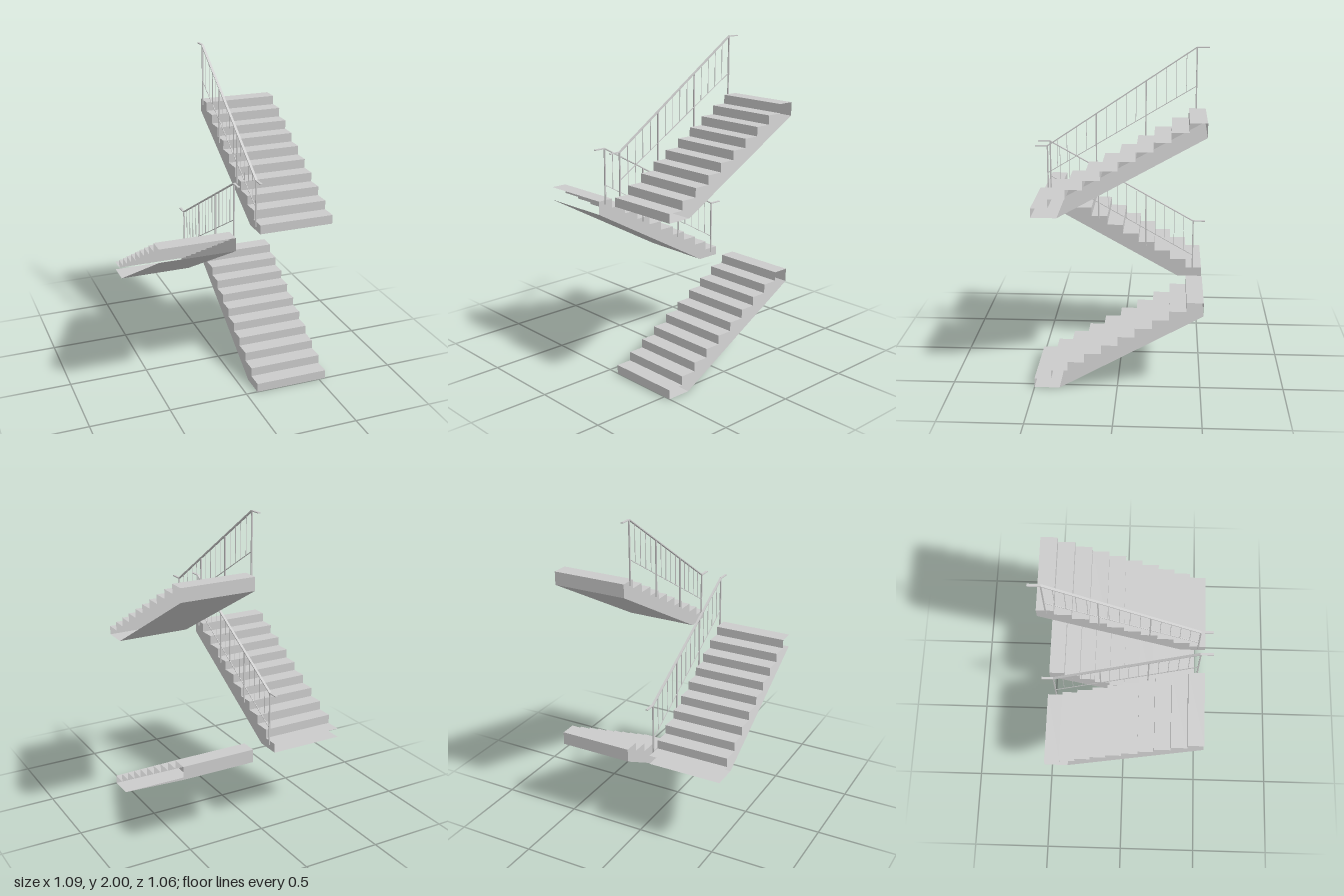
import * as THREE from 'three';

const STEPS = 10, RUN = 0.101, RISE = 0.0563, SLAB = 0.083;
const mat = new THREE.MeshStandardMaterial({ color: 0xcccccc, side: THREE.DoubleSide });

function add(parent, geometry, name) {
  const mesh = new THREE.Mesh(geometry, mat);
  mesh.name = name;
  parent.add(mesh);
  return mesh;
}

// Closed side profile of a flight: u runs along the climb, y is up
function flightProfile() {
  const pts = [[0, 0]];
  for (let i = 0; i < STEPS; i++) {
    pts.push([i * RUN, (i + 1) * RISE], [(i + 1) * RUN, (i + 1) * RISE]);
  }
  pts.push([STEPS * RUN, STEPS * RISE - SLAB], [0.152, 0]);
  return pts;
}

// Hollow flight: stepped skin plus the stringer on the inner side.
// The outer side is open; openEnds also leaves out the first riser and top end.
function flight(name, xInner, xOuter, y, dir, openEnds) {
  const group = new THREE.Group();
  group.name = name;
  const pts = flightProfile();
  const z0 = dir < 0 ? 0.5 : -0.51;
  let [xa, xb] = [Math.min(xInner, xOuter), Math.max(xInner, xOuter)];
  if (dir > 0) [xa, xb] = [xb, xa];

  const pos = [];
  const topEnd = 2 * STEPS;
  pts.forEach((p, i) => {
    if (openEnds && (i === 0 || i === topEnd)) return;
    const q = pts[(i + 1) % pts.length];
    const v = (x, s) => [x, s[1], z0 + dir * s[0]];
    pos.push(...v(xa, p), ...v(xb, p), ...v(xb, q), ...v(xa, p), ...v(xb, q), ...v(xa, q));
  });
  const skin = new THREE.BufferGeometry();
  skin.setAttribute('position', new THREE.Float32BufferAttribute(pos, 3));
  skin.computeVertexNormals();
  add(group, skin, 'stepsAndSoffit');

  // Inner stringer, turned to face the stairwell
  const side = new THREE.ShapeGeometry(new THREE.Shape(pts.map(p => new THREE.Vector2(...p))));
  side.rotateY(-dir * Math.PI / 2);
  side.index.array.reverse();
  side.computeVertexNormals();
  add(group, side, 'innerStringer').position.set(xInner, 0, z0);

  group.position.y = y;
  return group;
}

// Straight bar between two (z, y) points in the plane of a railing
function bar(parent, name, [z1, y1], [z2, y2], w, h) {
  const mesh = add(parent, new THREE.BoxGeometry(w, h, Math.hypot(z2 - z1, y2 - y1)), name);
  mesh.position.set(0, (y1 + y2) / 2, (z1 + z2) / 2);
  mesh.rotation.x = -Math.atan2(y2 - y1, z2 - z1);
}

// Railing: top = handrail heights, low = lower rail heights (front, back);
// floor(z) gives the foot of the posts
function railing(name, x, top, low, floor) {
  const group = new THREE.Group();
  group.name = name;
  const Z = 0.453, END = 0.528;
  const at = (h, t) => h[0] + (h[1] - h[0]) * t;
  bar(group, 'handrail', [Z, top[0]], [-Z, top[1]], 0.015, 0.006);
  bar(group, 'handrailFrontEnd', [END, top[0]], [Z - 0.002, top[0]], 0.015, 0.006);
  bar(group, 'handrailBackEnd', [-Z + 0.002, top[1]], [-END, top[1]], 0.015, 0.006);
  bar(group, 'lowerRail', [Z, low[0]], [-Z, low[1]], 0.004, 0.004);
  // Every fifth upright is a post, the others are thin balusters
  for (let i = 0; i <= 15; i++) {
    const t = i / 15, z = Z - 2 * Z * t;
    const post = i % 5 === 0;
    const foot = post ? floor(z) - 0.025 : at(low, t);
    const w = post ? 0.008 : 0.003;
    const h = at(top, t) - foot;
    add(group, new THREE.BoxGeometry(w, h, w), post ? 'post' : 'baluster')
      .position.set(0, foot + h / 2, z);
  }
  group.position.x = x;
  return group;
}

export function createModel() {
  const model = new THREE.Group();
  model.name = 'staircase';
  const midY = 9 * RISE, topY = 19 * RISE;

  // Three flights switching back and forth
  model.add(flight('lowerFlight', 0.074, 0.543, 0, -1, false));
  model.add(flight('middleFlight', -0.079, -0.547, midY, 1, true));
  model.add(flight('upperFlight', 0.074, 0.543, topY, -1, false));

  // Railings beside the stairwell
  const tread = u => (Math.floor(u / RUN) + 1) * RISE;
  model.add(railing('middleRailing', -0.0745, [1.39, 0.88], [1.165, 0.65],
    z => midY + tread(z + 0.51)));
  model.add(railing('upperRailing', 0.0645, [1.39, 1.997], [1.22, 1.765],
    z => topY + tread(0.5 - z)));
  return model;
}
